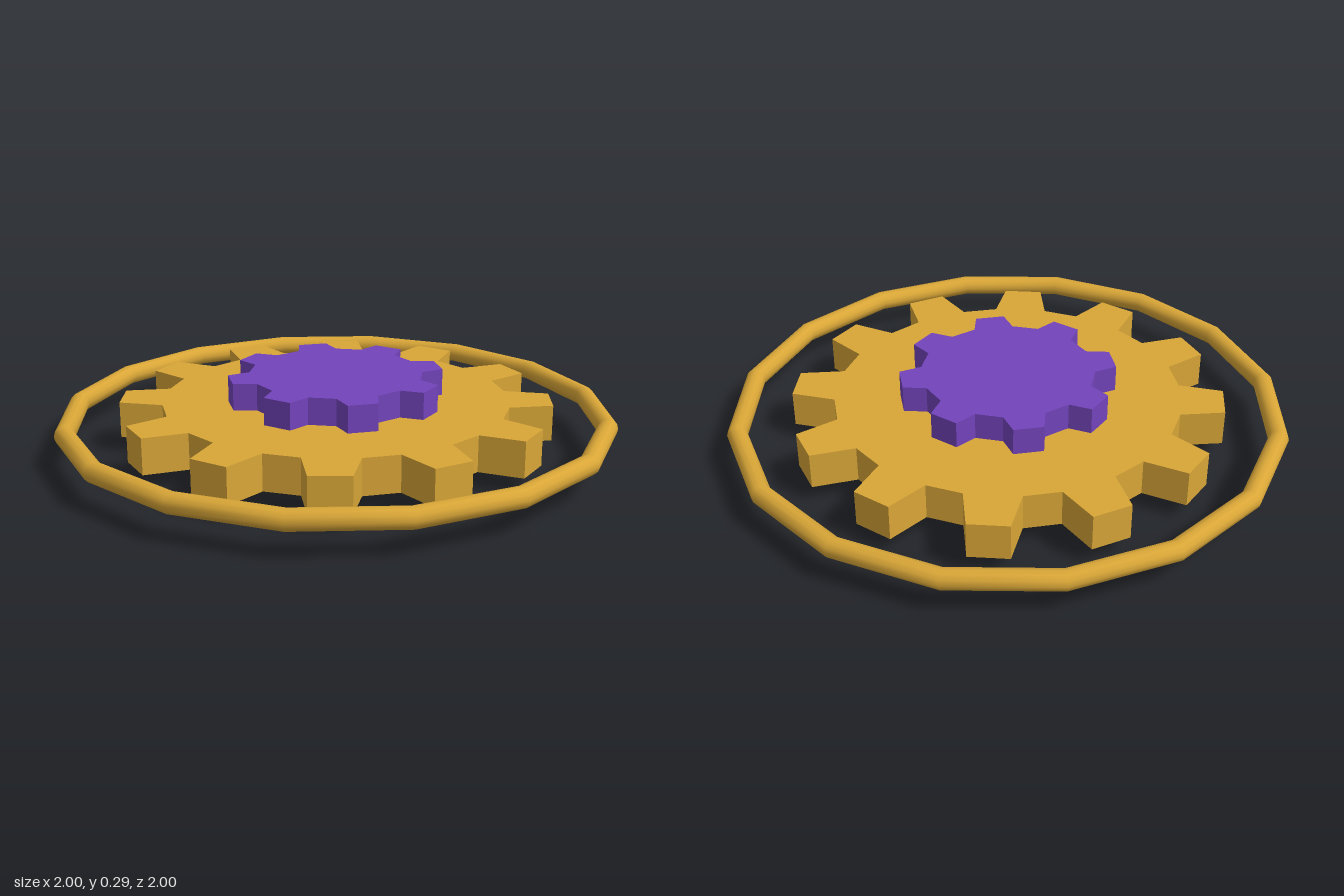
import * as THREE from 'three';
import { mergeVertices } from 'three/addons/utils/BufferGeometryUtils.js';

const gold = new THREE.MeshStandardMaterial({ color: 0xd9a637 });
const goldFlat = new THREE.MeshStandardMaterial({ color: 0xd9a637, flatShading: true });
const purpleFlat = new THREE.MeshStandardMaterial({ color: 0x7344bb, flatShading: true });

// Outline extruded upward from y = 0
function extrudeUp(points, height) {
  const geo = new THREE.ExtrudeGeometry(new THREE.Shape(points), { depth: height, bevelEnabled: false });
  return geo.rotateX(-Math.PI / 2);
}

// Gear with tapered teeth, one tooth centred on +x
function gearGeometry(teeth, rootRadius, tipRadius, height) {
  const pitch = (Math.PI * 2) / teeth;
  const tooth = [[-0.3, rootRadius], [-0.175, tipRadius], [0.175, tipRadius], [0.3, rootRadius]];
  const points = [];
  for (let i = 0; i < teeth; i++) {
    for (const [offset, r] of tooth) {
      const a = (i + offset) * pitch;
      points.push(new THREE.Vector2(r * Math.cos(a), r * Math.sin(a)));
    }
  }
  return extrudeUp(points, height);
}

// Short cylinder whose normals blend across the rim
function hubGeometry(radius, height, sides) {
  const points = [];
  for (let i = 0; i < sides; i++) {
    const a = (i / sides) * Math.PI * 2;
    points.push(new THREE.Vector2(radius * Math.cos(a), radius * Math.sin(a)));
  }
  const geo = extrudeUp(points, height);
  geo.deleteAttribute('normal');
  geo.deleteAttribute('uv');
  const merged = mergeVertices(geo);
  merged.computeVertexNormals();
  return merged;
}

export function createModel() {
  const group = new THREE.Group();
  const add = (name, geometry, material, y) => {
    const mesh = new THREE.Mesh(geometry, material);
    mesh.name = name;
    mesh.position.y = y;
    group.add(mesh);
  };

  // Sixteen-sided hoop around the gears
  add('outerRing', new THREE.TorusGeometry(0.963, 0.036, 12, 16).rotateX(Math.PI / 2), gold, 0.125);
  // Large gear, with the small one stacked on top
  add('largeGear', gearGeometry(12, 0.619, 0.772, 0.13), goldFlat, 0.06);
  add('smallGear', gearGeometry(8, 0.309, 0.385, 0.097), purpleFlat, 0.19);
  // Axle hub showing below the large gear
  add('hub', hubGeometry(0.18, 0.25, 16), gold, 0);

  return group;
}
